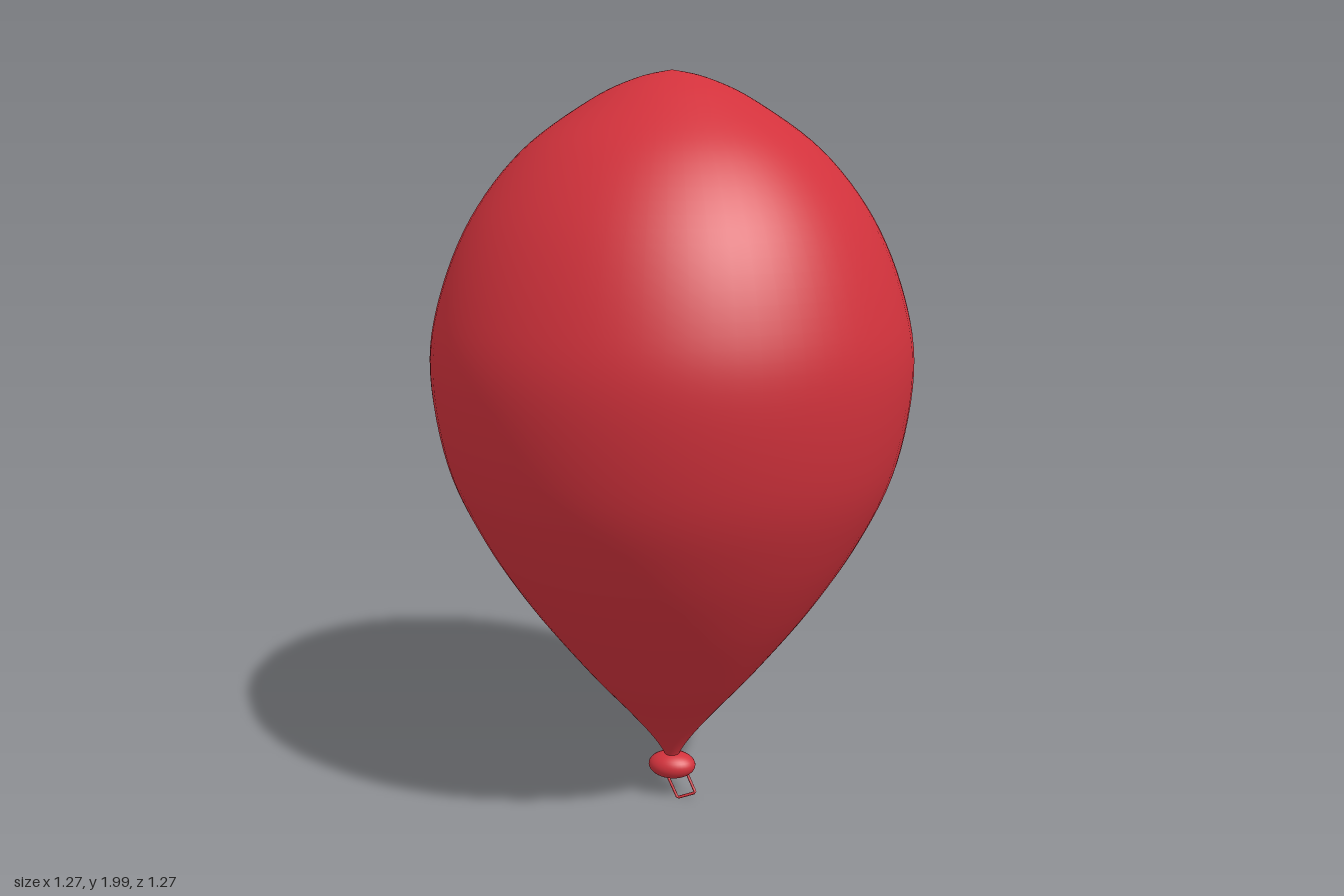
import * as THREE from 'three';

export function createModel() {
  const group = new THREE.Group();
  const red = new THREE.MeshStandardMaterial({ color: 0xd2323c });
  red.name = 'balloon red';

  const add = (name, geometry) => {
    const mesh = new THREE.Mesh(geometry, red);
    mesh.name = name;
    group.add(mesh);
    return mesh;
  };

  // Teardrop body, turned from a smooth profile (radius, height)
  const profile = new THREE.SplineCurve([
    [0.012, 0.1], [0.025, 0.14], [0.065, 0.2], [0.135, 0.285], [0.235, 0.4],
    [0.39, 0.6], [0.515, 0.8], [0.6, 1.0], [0.635, 1.24], [0.605, 1.43],
    [0.52, 1.63], [0.385, 1.8], [0.21, 1.925], [0.09, 1.98], [0, 2],
  ].map(([r, y]) => new THREE.Vector2(r, y)));
  const points = profile.getPoints(84);
  points.forEach((p) => { p.x = Math.max(p.x, 0); });
  add('balloonBody', new THREE.LatheGeometry(points, 72));

  // Flattened knot under the neck
  const knot = add('knot', new THREE.SphereGeometry(1, 32, 20));
  knot.scale.set(0.067, 0.038, 0.05);
  knot.position.y = 0.097;

  // Thin four-sided loop hanging from the knot
  const corners = [
    [-0.015, 0.068, 0.004], [0.022, 0.01, 0.03], [0.071, 0.024, 0.018], [0.042, 0.075, 0.0],
  ].map((c) => new THREE.Vector3(...c));
  const loop = new THREE.CurvePath();
  corners.forEach((c, i) => loop.add(new THREE.LineCurve3(c, corners[(i + 1) % corners.length])));
  add('tailLoop', new THREE.TubeGeometry(loop, 48, 0.004, 6, true));

  return group;
}
